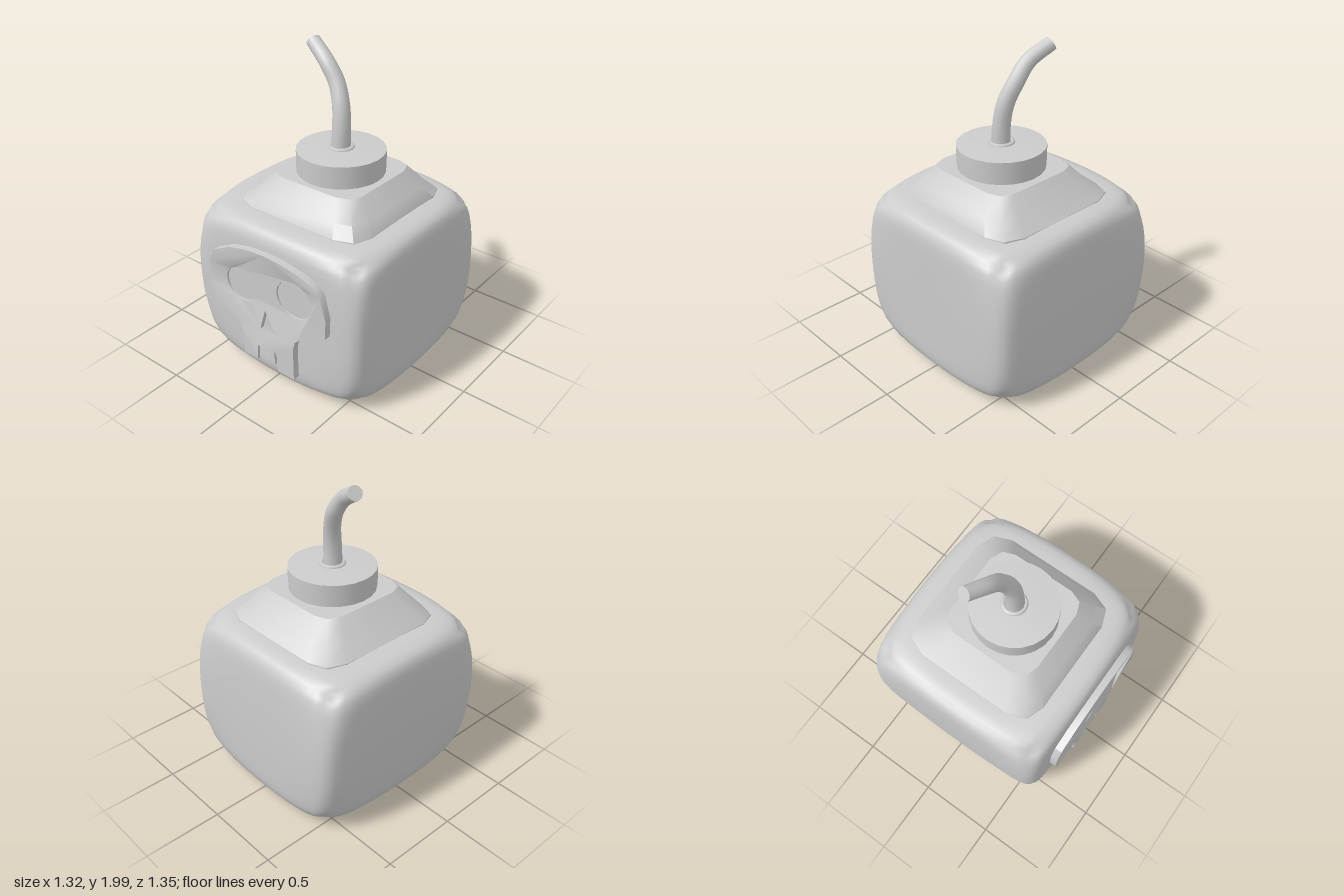
import * as THREE from 'three';
import { mergeVertices, toCreasedNormals } from 'three/addons/utils/BufferGeometryUtils.js';

const grey = new THREE.MeshStandardMaterial({ color: 0xcccccc });

function part(name, geometry) {
  const mesh = new THREE.Mesh(geometry, grey);
  mesh.name = name;
  return mesh;
}

// Cube with softened edges and more strongly cut corners
function bodyGeometry() {
  let geo = new THREE.BoxGeometry(2, 2, 2, 22, 22, 22);
  geo.deleteAttribute('uv');
  geo.deleteAttribute('normal');
  geo = mergeVertices(geo, 1e-4);
  const pos = geo.attributes.position;
  const p = new THREE.Vector3();
  const power = 13;
  for (let i = 0; i < pos.count; i++) {
    p.fromBufferAttribute(pos, i);
    const corner = Math.pow(Math.abs(p.x * p.y * p.z), 2.5);
    const sum = Math.abs(p.x) ** power + Math.abs(p.y) ** power + Math.abs(p.z) ** power;
    p.multiplyScalar(Math.pow(sum, -1 / power) * (1 - 0.1 * corner));
    // the -x side and the back bulge a little, the rest is straight
    const bulgeX = 0.665 - 0.025 * (p.y - 0.4) ** 2;
    const bulgeZ = 0.675 - 0.015 * (p.y + 0.3) ** 2;
    pos.setXYZ(i,
      p.x * (p.x < 0 ? bulgeX : 0.66),
      0.535 + p.y * 0.525,
      p.z * (p.z < 0 ? bulgeZ : 0.637));
  }
  geo.computeVertexNormals();
  return geo;
}

// Rectangle outline with two-step cut corners, seen from above
function cutRectangle(x0, x1, z0, z1, cut) {
  const points = [];
  const cx = (x0 + x1) / 2, cz = (z0 + z1) / 2;
  const hx = (x1 - x0) / 2, hz = (z1 - z0) / 2;
  const steps = [[0, 1], [0.28, 0.28], [1, 0]];
  for (const [sx, sz] of [[1, 1], [1, -1], [-1, -1], [-1, 1]]) {
    const ordered = sx * sz > 0 ? [...steps].reverse() : steps;
    for (const [a, b] of ordered) {
      points.push([cx + sx * (hx - a * cut), cz + sz * (hz - b * cut)]);
    }
  }
  return points;
}

// Sloping shoulder made from stacked outlines
function shoulderGeometry() {
  const levels = [
    [1.0, cutRectangle(-0.47, 0.5, -0.505, 0.46, 0.16)],
    [1.06, cutRectangle(-0.46, 0.49, -0.5, 0.455, 0.16)],
    [1.13, cutRectangle(-0.38, 0.435, -0.42, 0.4, 0.14)],
    [1.24, cutRectangle(-0.28, 0.35, -0.325, 0.31, 0.11)],
  ];
  const vertices = [], index = [];
  const n = levels[0][1].length;
  for (const [y, outline] of levels) {
    for (const [x, z] of outline) vertices.push(x, y, z);
  }
  for (let l = 0; l < levels.length - 1; l++) {
    for (let i = 0; i < n; i++) {
      const a = l * n + i, b = l * n + (i + 1) % n;
      index.push(a, b, b + n, a, b + n, a + n);
    }
  }
  const top = (levels.length - 1) * n;
  vertices.push(0.035, 1.24, 0);
  for (let i = 0; i < n; i++) index.push(levels.length * n, top + i, top + (i + 1) % n);
  const geo = new THREE.BufferGeometry();
  geo.setAttribute('position', new THREE.Float32BufferAttribute(vertices, 3));
  geo.setIndex(index);
  return toCreasedNormals(geo, 0.6);
}

// Tapering bent fuse with a closed tip
function fuseGeometry(path) {
  const segments = 24, sides = 12;
  const geo = new THREE.TubeGeometry(path, segments, 1, sides);
  const pos = geo.attributes.position;
  const p = new THREE.Vector3();
  for (let i = 0; i < pos.count; i++) {
    const t = Math.floor(i / (sides + 1)) / segments;
    const centre = path.getPointAt(t);
    p.fromBufferAttribute(pos, i).sub(centre).multiplyScalar(0.06 - 0.015 * t).add(centre);
    pos.setXYZ(i, p.x, p.y, p.z);
  }
  return geo;
}

// Skull plate with eye and nose openings sunk into its front
function skullGeometry() {
  const outline = [
    [0, 0.935], [-0.15, 0.922], [-0.28, 0.89], [-0.415, 0.82], [-0.455, 0.73], [-0.46, 0.57],
    [-0.435, 0.44], [-0.255, 0.385], [-0.215, 0.35], [-0.2, 0.3], [-0.2, 0.15], [-0.085, 0.15],
    [-0.08, 0.255], [-0.065, 0.265], [-0.065, 0.18], [0.06, 0.18], [0.055, 0.27], [0.075, 0.255],
    [0.08, 0.14], [0.21, 0.135], [0.21, 0.36], [0.225, 0.42], [0.26, 0.455], [0.42, 0.52],
    [0.455, 0.555], [0.46, 0.68], [0.42, 0.82], [0.37, 0.87], [0.27, 0.905], [0.14, 0.928],
  ];
  const toVectors = (list) => list.map(([x, y]) => new THREE.Vector2(x, y));
  const shape = new THREE.Shape(toVectors(outline));
  const eyes = [[-0.22, 0.635, 0.124, 0.113], [0.2, 0.695, 0.135, 0.122]];
  for (const [x, y, rx, ry] of eyes) {
    const ring = [];
    for (let i = 0; i < 16; i++) {
      const a = (i / 16) * Math.PI * 2;
      ring.push([x + rx * Math.cos(a), y + ry * Math.sin(a)]);
    }
    shape.holes.push(new THREE.Path(toVectors(ring)));
  }
  const nose = [[-0.02, 0.535], [-0.065, 0.38], [-0.01, 0.445], [0.055, 0.385]];
  shape.holes.push(new THREE.Path(toVectors(nose)));

  const geo = new THREE.ExtrudeGeometry(shape, { depth: 0.06, bevelEnabled: false });
  geo.translate(0, 0, 0.62);
  const pos = geo.attributes.position;
  for (let i = 0; i < pos.count; i++) {
    if (pos.getZ(i) < 0.65) continue;
    const x = pos.getX(i), y = pos.getY(i);
    const inEye = eyes.some(([ex, ey, rx, ry]) => Math.hypot((x - ex) / rx, (y - ey) / ry) < 1.05);
    const inNose = nose.some(([nx, ny]) => Math.hypot(x - nx, y - ny) < 0.01);
    if (inEye) pos.setZ(i, 0.65);
    else if (inNose) pos.setZ(i, 0.665);
  }
  return toCreasedNormals(geo, 0.6);
}

export function createModel() {
  const model = new THREE.Group();
  model.name = 'squareBomb';

  model.add(part('body', bodyGeometry()));
  model.add(part('shoulder', shoulderGeometry()));
  model.add(part('skullPlate', skullGeometry()));

  // Round cap with a gently domed top
  const capProfile = [[0.272, 1.22], [0.275, 1.3], [0.275, 1.382], [0.15, 1.39], [0, 1.395]]
    .map(([r, y]) => new THREE.Vector2(r, y));
  const cap = part('cap', toCreasedNormals(new THREE.LatheGeometry(capProfile, 24), 0.6));
  cap.position.x = 0.035;
  model.add(cap);

  // Small raised rim where the fuse enters
  const rim = part('fuseRim', new THREE.TorusGeometry(0.068, 0.016, 6, 16));
  rim.rotation.x = Math.PI / 2;
  rim.position.set(0.035, 1.39, 0);
  model.add(rim);

  const path = new THREE.CatmullRomCurve3([
    [0.035, 1.36, 0.003], [0.035, 1.5, 0], [0.018, 1.64, -0.018], [-0.04, 1.77, -0.048],
    [-0.125, 1.875, -0.06], [-0.265, 1.962, -0.107],
  ].map((p) => new THREE.Vector3(...p)));
  const fuse = new THREE.Group();
  fuse.name = 'fuse';
  fuse.add(part('fuseCord', fuseGeometry(path)));
  const tip = part('fuseTip', new THREE.CircleGeometry(0.045, 12));
  tip.position.copy(path.getPointAt(1));
  tip.quaternion.setFromUnitVectors(new THREE.Vector3(0, 0, 1), path.getTangentAt(1));
  fuse.add(tip);
  model.add(fuse);

  return model;
}
